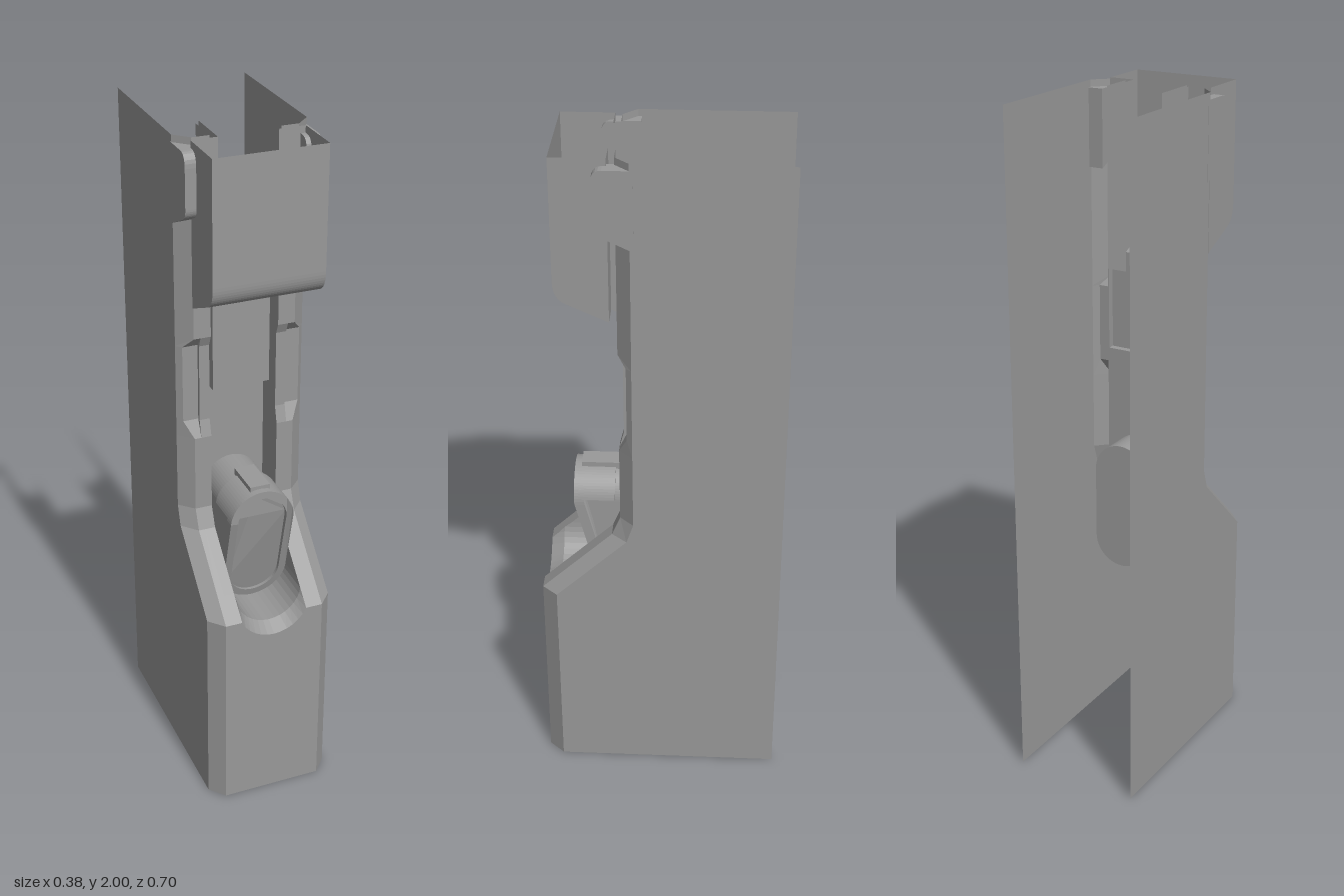
import * as THREE from 'three';

const color = 0x999999;
const material = new THREE.MeshStandardMaterial({ color, flatShading: true, side: THREE.DoubleSide });
const smooth = new THREE.MeshStandardMaterial({ color });

function add(parent, name, geometry, mat = material) {
  const mesh = new THREE.Mesh(geometry, mat);
  mesh.name = name;
  parent.add(mesh);
}

// Open surface through rows of [x, y, z] points; side = -1 mirrors it in x
function surface(rows, side = 1) {
  const pos = [];
  for (let i = 0; i + 1 < rows.length; i++) {
    const a = rows[i], b = rows[i + 1];
    for (let j = 0; j + 1 < Math.min(a.length, b.length); j++) {
      const tri = [a[j], b[j], b[j + 1], a[j], b[j + 1], a[j + 1]];
      for (const [x, y, z] of tri) pos.push(x * side, y, z);
    }
  }
  const g = new THREE.BufferGeometry();
  g.setAttribute('position', new THREE.Float32BufferAttribute(pos, 3));
  g.computeVertexNormals();
  return g;
}

const polygon = (pts) => new THREE.Shape(pts.map(([a, b]) => new THREE.Vector2(a, b)));

// Folded strip across x following a [z, y] profile, plus two side panels
function trough(parent, name, profile, outline, hw) {
  add(parent, name + 'Fold', surface(profile.map(([z, y]) => [[-hw, y, z], [hw, y, z]])));
  for (const s of [-1, 1]) {
    const panel = new THREE.ShapeGeometry(polygon(outline)).rotateY(-Math.PI / 2);
    add(parent, name + 'Side', panel.translate(s * hw, 0, 0));
  }
}

function stadium(r, y0, y1) {
  const s = new THREE.Shape();
  s.absarc(0, y1 - r, r, 0, Math.PI, false);
  s.absarc(0, y0 + r, r, Math.PI, Math.PI * 2, false);
  s.closePath();
  return s;
}

// Extrusion whose front end follows the button face: upright at the top, leaning in below
const lean = (y) => 0.26 - Math.max(0, 0.9 - y) * 0.25;
function leaningExtrude(shape, back, offset) {
  const g = new THREE.ExtrudeGeometry(shape, { depth: 1, bevelEnabled: false, curveSegments: 16 });
  const p = g.attributes.position;
  for (let i = 0; i < p.count; i++) {
    const face = lean(p.getY(i)) + offset;
    p.setZ(i, p.getZ(i) > 0.5 ? face : back(face));
  }
  g.computeVertexNormals();
  return g;
}

function shellRows() {
  // Outer section at height y: wall back, wall front, chamfer corner, ledge, lip of the channel
  const outer = (y, lip, b, a, bx = 0.15, ledge = b) => [
    [0.19, y, -0.35], [0.19, y, a], [bx, y, ledge], [0.13, y, ledge], [0.13, y, b], [lip, y, b],
  ];
  // Same, continued round the throat, side and floor of the channel
  const full = (y, lip, b, a, throat = [0.1, y, b], bx, ledge) => [
    ...outer(y, lip, b, a, bx, ledge), throat, [throat[0], throat[1], 0.02], [0, throat[1], 0.02],
  ];
  // Scoop at the foot of the channel; t runs round a quarter circle
  const scoop = (t) => {
    const y = 0.69 - 0.125 * Math.cos(t);
    const drop = Math.max(0, y - 0.63) * 1.05;
    const throat = [0.1 * Math.sin(t), 0.69 - 0.1 * Math.cos(t), Math.min(0.315, 0.355 - drop)];
    return full(y, Math.min(0.1, 0.115 * Math.sin(t)), 0.355 - drop, 0.31 - drop, throat);
  };
  const ridge = Math.acos(0.06 / 0.125);
  const rows = [outer(0, 0, 0.355, 0.31), outer(0.565, 0, 0.355, 0.31)];
  for (let i = 0; i <= 6; i++) rows.push(scoop((ridge * i) / 6));
  for (let i = 1; i <= 3; i++) rows.push(scoop(ridge + ((Math.PI / 2 - ridge) * i) / 3));
  const recess = (y) => full(y, 0.1, 0.107, 0.08, [0.1, y, 0.107], 0.175, 0.096);
  rows.push(
    full(0.83, 0.1, 0.145, 0.1),
    full(0.89, 0.1, 0.12, 0.08),
    full(1.12, 0.1, 0.12, 0.08),
    recess(1.17),
    recess(1.4),
    full(1.43, 0.1, 0.12, 0.08),
    full(1.48, 0.1, 0.12, 0.08),
    full(2, 0.1, 0.12, 0.08).slice(0, 8),
  );
  return rows;
}

export function createModel() {
  const model = new THREE.Group();
  model.name = 'gripHousing';

  // Thin shell, open at back, top and bottom, with a channel down the front
  const rows = shellRows();
  for (const s of [1, -1]) add(model, s > 0 ? 'leftShell' : 'rightShell', surface(rows, s));

  // Sliding cover: wide hollow head and narrow neck running in the channel
  const cover = new THREE.Group();
  cover.name = 'slidingCover';
  model.add(cover);
  const bend = new THREE.QuadraticBezierCurve(
    new THREE.Vector2(0.29, 1.65), new THREE.Vector2(0.29, 1.6), new THREE.Vector2(0.255, 1.585));
  const head = [[0.29, 2], ...bend.getPoints(10).map((p) => [p.x, p.y]), [0.14, 1.533]];
  trough(cover, 'coverHead', head, [[0.14, 2], ...head], 0.16);
  const neck = [[0.14, 1.533], [0.095, 1.513], [0.095, 1.25], [0, 1.25]];
  trough(cover, 'coverNeck', neck, [[0.14, 2], ...neck, [0, 2]], 0.085);
  for (const s of [1, -1]) {
    add(cover, 'coverShoulder', surface([
      [[0.085, 1.533, 0.14], [0.16, 1.533, 0.14]],
      [[0.085, 2, 0.14], [0.16, 2, 0.14]],
    ], s));
  }

  // Rounded tabs either side of the cover
  const tab = new THREE.Shape();
  tab.moveTo(0.07, 1.755);
  tab.lineTo(0.165, 1.8);
  tab.quadraticCurveTo(0.18, 1.81, 0.18, 1.83);
  tab.lineTo(0.18, 1.94);
  tab.quadraticCurveTo(0.18, 1.98, 0.15, 1.98);
  tab.lineTo(0.07, 1.98);
  tab.closePath();
  for (const s of [1, -1]) {
    const g = new THREE.ExtrudeGeometry(tab, { depth: 0.045, bevelEnabled: false, curveSegments: 6 });
    g.rotateY(-Math.PI / 2).translate(s > 0 ? 0.191 : -0.146, 0, 0);
    add(model, s > 0 ? 'leftTab' : 'rightTab', g, smooth);
  }

  // Push button: body through the channel, raised rim, crown and top rib
  const button = new THREE.Group();
  button.name = 'pushButton';
  model.add(button);
  add(button, 'buttonBody', leaningExtrude(stadium(0.085, 0.6, 0.985), () => -0.08, -0.01), smooth);
  const rim = stadium(0.097, 0.595, 0.99);
  rim.holes.push(stadium(0.075, 0.617, 0.968));
  add(button, 'buttonRim', leaningExtrude(rim, (face) => face - 0.03, 0), smooth);
  const crown = new THREE.Shape();
  crown.absarc(0, 0.893, 0.097, 0.18, Math.PI - 0.18, false);
  crown.closePath();
  add(button, 'buttonCrown', leaningExtrude(crown, () => 0.14, -0.012), smooth);
  const rib = new THREE.BoxGeometry(0.06, 0.03, 0.12);
  add(button, 'buttonRib', rib.translate(0, 0.985, 0.18), smooth);

  return model;
}
